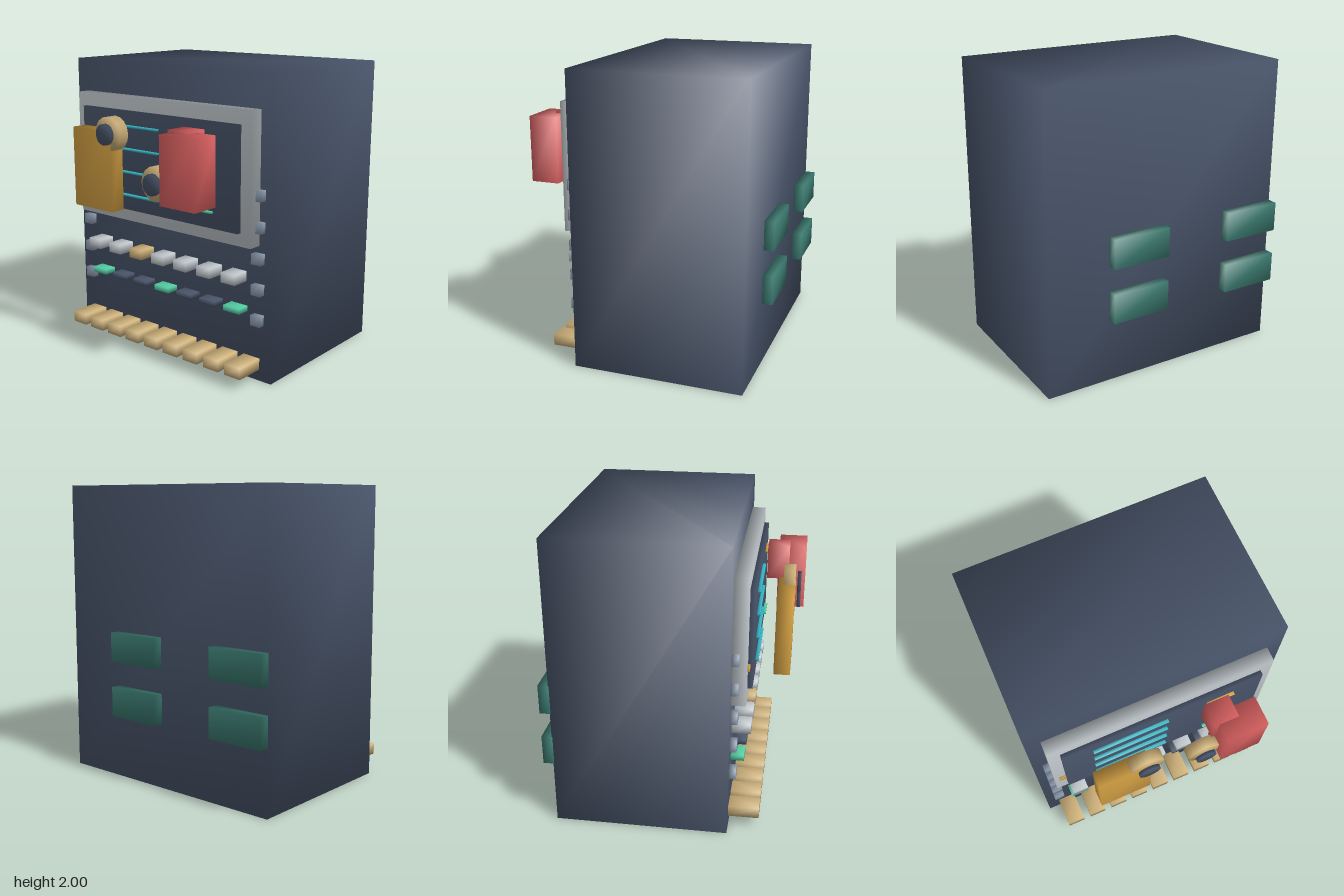
import * as THREE from 'three';
import { mergeVertices } from 'three/addons/utils/BufferGeometryUtils.js';

const mat = (name, color) => {
  const m = new THREE.MeshStandardMaterial({ color });
  m.name = name;
  return m;
};

// Weld corners so that shading runs softly across the edges
function soften(geometry) {
  geometry.deleteAttribute('normal');
  geometry.deleteAttribute('uv');
  const welded = mergeVertices(geometry);
  welded.computeVertexNormals();
  return welded;
}

export function createModel() {
  const slate = mat('slate', 0x4a566c);
  const silver = mat('silver', 0xc3cacf);
  const steel = mat('steel', 0x8e9db0);
  const tan = mat('tan', 0xcfb27a);
  const amber = mat('amber', 0xd6a244);
  const red = mat('red', 0xdd6262);
  const cyan = mat('cyan', 0x35b5c4);
  const mint = mat('mint', 0x55cfa5);
  const teal = mat('teal', 0x3a786e);

  const model = new THREE.Group();
  model.name = 'controlCabinet';

  const add = (name, geometry, material, x, y, z) => {
    const mesh = new THREE.Mesh(geometry, material);
    mesh.name = name;
    mesh.position.set(x, y, z);
    model.add(mesh);
    return mesh;
  };
  // Box given by its limits along each axis
  const box = (name, material, [x0, x1], [y0, y1], [z0, z1]) =>
    add(name, soften(new THREE.BoxGeometry(x1 - x0, y1 - y0, z1 - z0)), material,
      (x0 + x1) / 2, (y0 + y1) / 2, (z0 + z1) / 2);
  const span = (centre, size) => [centre - size / 2, centre + size / 2];
  const front = 0.405;

  // Cabinet, bezel and screen
  box('cabinet', slate, [-0.87, 0.87], [0, 2], [-0.755, front]);
  box('screenBezel', silver, [-0.767, 0.765], [0.915, 1.775], [front, 0.5]);
  box('screen', slate, [-0.687, 0.685], [1.003, 1.685], [0.48, 0.532]);

  // Trace lines and short readouts on the screen
  [1.585, 1.428, 1.27, 1.11].forEach((y, i) => {
    box('traceLine', cyan, [-0.485, 0.03], span(y, 0.014), [0.53, 0.554]);
    if (i === 0) box('readoutLine', amber, [0.3, 0.49], span(y, 0.014), [0.53, 0.554]);
    if (i === 3) box('readoutLine', mint, [0.305, 0.49], span(y, 0.014), [0.53, 0.554]);
  });
  box('bezelMarker', amber, [-0.735, -0.68], [1.145, 1.176], [0.495, 0.515]);

  // Blocks in front of the screen
  box('amberBlock', amber, [-0.54, -0.185], [1.042, 1.58], [0.655, 0.762]);
  box('largeRedBlock', red, [0.305, 0.59], [1.177, 1.625], [0.628, 0.823]);
  box('smallRedBlock', red, [0.27, 0.44], [1.4, 1.636], [0.553, 0.706]);

  // Dials with dark caps
  const disc = (radius, depth) =>
    soften(new THREE.CylinderGeometry(radius, radius, depth, 16).rotateX(Math.PI / 2));
  for (const [x, y] of [[-0.21, 1.563], [0.204, 1.29]]) {
    add('dial', disc(0.114, 0.075), tan, x, y, 0.723);
    add('dialCap', disc(0.071, 0.024), slate, x, y, 0.786);
  }

  // Row of push buttons above a row of indicator lamps
  for (let i = 0; i < 7; i++) {
    const x = -0.617 + i * 0.2045;
    box('pushButton', i === 2 ? tan : silver, span(x, 0.113), [0.66, 0.727], [front, 0.532]);
    box('indicatorLamp', i % 3 ? slate : mint, span(x, 0.13), [0.457, 0.494], [front, 0.493]);
  }

  // Keys along the bottom edge
  for (let i = 0; i < 9; i++) {
    box('bottomKey', tan, span(-0.718 + i * 0.179, 0.126), [0.078, 0.155], [front, 0.611]);
  }

  // Bolts down both sides
  for (const side of [-1, 1]) {
    for (let i = 0; i < 5; i++) {
      box('bolt', steel, span(side * 0.77, 0.074), span(0.424 + i * 0.205, 0.07), [front, 0.452]);
    }
  }

  // Vents on the back
  for (const x of [[-0.872, -0.463], [0.013, 0.422]]) {
    for (const y of [[0.44, 0.642], [0.817, 1.018]]) {
      box('backVent', teal, x, y, [-0.823, -0.75]);
    }
  }

  return model;
}
